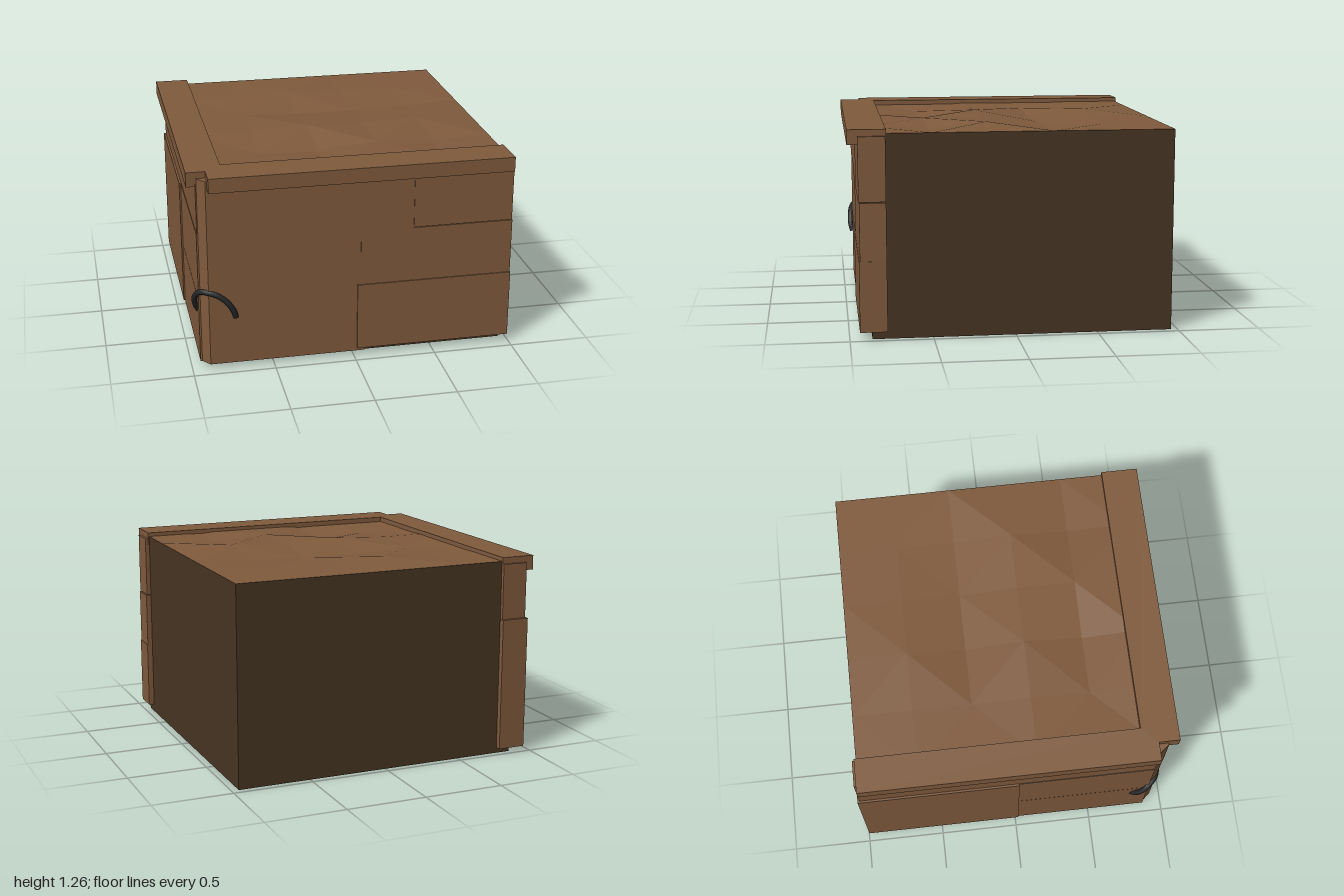
import * as THREE from 'three';

const wood = new THREE.MeshStandardMaterial({ color: 0x805b3d, flatShading: true });
const lid = new THREE.MeshStandardMaterial({ color: 0x805b3d, flatShading: true, side: THREE.DoubleSide });
const shade = new THREE.MeshStandardMaterial({ color: 0x473523, flatShading: true, side: THREE.DoubleSide });
const iron = new THREE.MeshStandardMaterial({ color: 0x26282a });

// Prism with a plan outline of [x, z] points, standing from y0 to y1
function slab(name, plan, y0, y1) {
  const shape = new THREE.Shape(plan.map(([x, z]) => new THREE.Vector2(x, -z)));
  const geo = new THREE.ExtrudeGeometry(shape, { depth: y1 - y0, bevelEnabled: false });
  geo.rotateX(-Math.PI / 2).translate(0, y0, 0);
  const mesh = new THREE.Mesh(geo, wood);
  mesh.name = name;
  return mesh;
}

const rect = (x0, x1, z0, z1) => [[x0, z0], [x0, z1], [x1, z1], [x1, z0]];

export function createModel() {
  const model = new THREE.Group();
  model.name = 'block';

  // Inner shell: four thin walls, open at the bottom
  const cx = 0.0425, cz = -0.0475, size = 1.825, TOP = 1.235;
  const shell = new THREE.Group();
  shell.name = 'innerShell';
  for (let i = 0; i < 4; i++) {
    const geo = new THREE.PlaneGeometry(size, TOP).translate(0, TOP / 2, size / 2);
    geo.rotateY(i * Math.PI / 2).translate(cx, 0, cz);
    const wall = new THREE.Mesh(geo, shade);
    wall.name = 'shellWall';
    shell.add(wall);
  }
  model.add(shell);

  // Uneven top surface: inner grid points are pushed up or down
  const bumps = [
    [0.0, 0.015, 0.0, -0.004],
    [-0.012, -0.03, -0.026, -0.02],
    [0.0, 0.018, 0.006, 0.02],
    [-0.026, -0.034, 0.008, -0.018],
  ];
  const topGeo = new THREE.PlaneGeometry(size, size, 5, 5).rotateX(-Math.PI / 2);
  topGeo.translate(cx, TOP, cz);
  for (let r = 0; r < 4; r++)
    for (let c = 0; c < 4; c++)
      topGeo.attributes.position.setY((r + 1) * 6 + c + 1, TOP + bumps[r][c]);
  // Alternate the diagonals from cell to cell
  const index = [];
  for (let r = 0; r < 5; r++)
    for (let c = 0; c < 5; c++) {
      const a = r * 6 + c, b = a + 6, d = a + 1, e = b + 1;
      index.push(...((r + c) % 2 ? [a, b, e, a, e, d] : [a, b, d, b, e, d]));
    }
  topGeo.setIndex(index);
  const top = new THREE.Mesh(topGeo, lid);
  top.name = 'unevenTop';
  model.add(top);

  // Rim along the front and one side, with a notch at the corner
  model.add(slab('topRim', [
    [-0.995, -0.97], [-0.995, 0.87], [-0.88, 0.87], [-0.88, 1], [0.963, 1],
    [0.963, 0.77], [-0.78, 0.77], [-0.78, -0.97],
  ], 1.17, 1.26));

  // Front bricks: x0, x1, y0, y1, z of the face
  const front = new THREE.Group();
  front.name = 'frontBricks';
  const frontBricks = [
    [0.02, 0.99, 0.05, 0.48, 0.94],
    [0.04, 0.987, 0.48, 0.828, 0.934],
    [0.365, 0.982, 0.833, 1.22, 0.938],
    [-0.28, 0.365, 0.828, 1.2, 0.934],
  ];
  for (const [x0, x1, y0, y1, z] of frontBricks)
    front.add(slab('frontBrick', rect(x0, x1, 0.775, z), y0, y1));
  // Corner bricks with a chamfered outer edge: x1, y0, y1, z of the face
  const cornerBricks = [
    [0.07, 0.03, 0.443, 0.93],
    [0.04, 0.443, 0.88, 0.931],
    [-0.28, 0.88, 1.22, 0.934],
  ];
  for (const [x1, y0, y1, z] of cornerBricks)
    front.add(slab('cornerBrick',
      [[-0.935, 0.775], [-0.935, 0.875], [-0.89, z], [x1, z], [x1, 0.775]], y0, y1));
  model.add(front);

  // Side bricks: z0, z1, y0, y1, x of the face
  const side = new THREE.Group();
  side.name = 'sideBricks';
  const sideBricks = [
    [-0.997, 0.02, 0.035, 0.87, -0.955],
    [0.02, 0.875, 0.03, 0.442, -0.946],
    [0.02, 0.875, 0.442, 0.872, -0.945],
    [-0.985, 0.875, 0.872, 1.22, -0.942],
  ];
  for (const [z0, z1, y0, y1, x] of sideBricks)
    side.add(slab('sideBrick', rect(x, -0.78, z0, z1), y0, y1));
  model.add(side);

  // Bent iron handle wrapped around the corner
  const path = new THREE.CatmullRomCurve3([
    [-0.73, 0.34, 0.935], [-0.745, 0.39, 0.948], [-0.785, 0.45, 0.948],
    [-0.84, 0.492, 0.94], [-0.9, 0.508, 0.92], [-0.945, 0.495, 0.875],
    [-0.966, 0.44, 0.83], [-0.955, 0.37, 0.79], [-0.935, 0.33, 0.77],
  ].map(p => new THREE.Vector3(...p)));
  const handle = new THREE.Mesh(new THREE.TubeGeometry(path, 24, 0.017, 8), iron);
  handle.name = 'handle';
  model.add(handle);

  return model;
}
